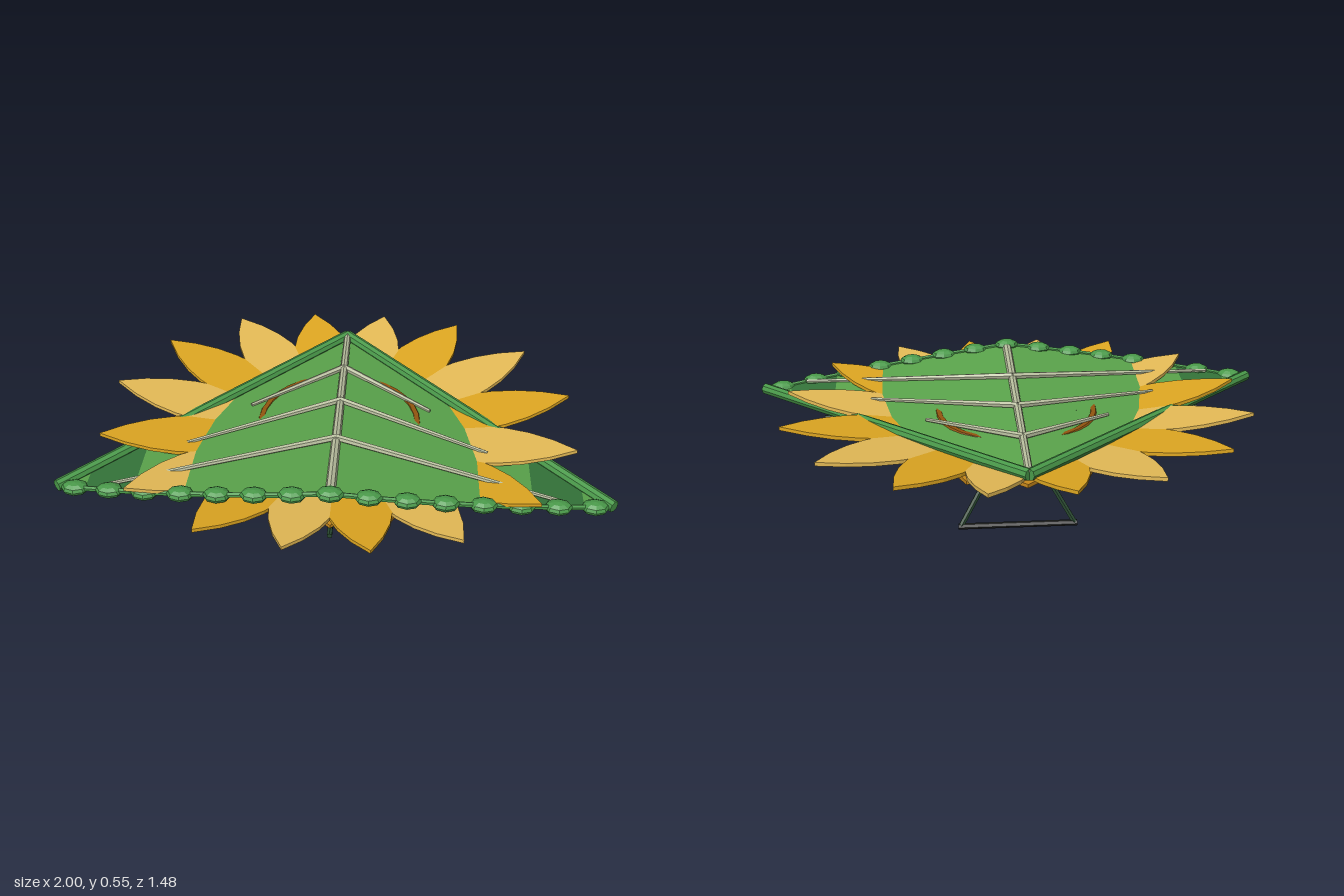
import * as THREE from 'three';

const mat = (name, color, extra = {}) =>
  Object.assign(new THREE.MeshStandardMaterial({ color, flatShading: true, ...extra }), { name });

export function createModel() {
  const root = new THREE.Group();
  root.name = 'flowerGlider';

  const sailGreen = mat('leafGreen', 0x5ba54c, { side: THREE.DoubleSide });
  const darkPanel = mat('darkLeafGreen', 0x35753a, { side: THREE.DoubleSide });
  const edgeGreen = mat('stemGreen', 0x4a9a4a);
  const vein = mat('veinGrey', 0xb9bf9f);
  const gold = mat('gold', 0xe0a822);
  const paleGold = mat('paleGold', 0xeabf58);
  const amber = mat('amber', 0xc98a1c);
  const brown = mat('seedBrown', 0x94560f);
  const frameGreen = mat('frameGreen', 0x28482f);
  const black = mat('gripBlack', 0x222422);

  const add = (geo, material, name, parent = root) => {
    const m = new THREE.Mesh(geo, material);
    m.name = name;
    parent.add(m);
    return m;
  };

  // Straight rod between two points, optionally tapered
  const rod = (a, b, r0, r1, material, name, sides = 6) => {
    const p = new THREE.Vector3(...a), q = new THREE.Vector3(...b);
    const d = q.clone().sub(p);
    const m = add(new THREE.CylinderGeometry(r1, r0, d.length(), sides), material, name);
    m.position.copy(p).add(q).multiplyScalar(0.5);
    m.quaternion.setFromUnitVectors(new THREE.Vector3(0, 1, 0), d.normalize());
  };

  // Sail surface: height, leading edge and trailing edge
  const sailY = (x, z) => 0.455 + (z + 0.58) * 0.0636 - 0.115 * Math.abs(x);
  const leadZ = x => -0.58 + x;
  const trailZ = x => 0.525 - 0.04 * x - 0.1 * x * x;

  // Sail bands from the keel to the wing tips
  const band = (side, x0, x1, material, name) => {
    const pos = [], idx = [], n = 6;
    for (let i = 0; i <= n; i++) {
      const x = x0 + (x1 - x0) * i / n;
      for (const z of [leadZ(x), Math.max(leadZ(x), trailZ(x))]) pos.push(side * x, sailY(x, z), z);
      if (i < n) {
        const k = i * 2;
        if (side > 0) idx.push(k, k + 1, k + 2, k + 1, k + 3, k + 2);
        else idx.push(k, k + 2, k + 1, k + 1, k + 2, k + 3);
      }
    }
    const g = new THREE.BufferGeometry();
    g.setAttribute('position', new THREE.Float32BufferAttribute(pos, 3));
    g.setIndex(idx);
    g.computeVertexNormals();
    add(g, material, name);
  };

  for (const s of [-1, 1]) {
    band(s, 0, 0.7, sailGreen, 'sail');
    band(s, 0.7, 0.88, darkPanel, 'sailDarkPanel');
    band(s, 0.88, 0.965, sailGreen, 'sailTip');

    // Leading edge stem
    rod([0, 0.462, -0.59], [s * 0.985, 0.41, 0.395], 0.022, 0.022, edgeGreen, 'leadingEdge', 8);

    // Side veins: keel z, end x, end z
    for (const [z0, x, z1] of [[-0.32, 0.34, -0.08], [-0.07, 0.55, 0.16], [0.19, 0.82, 0.41]])
      rod([0, sailY(0, z0) + 0.012, z0], [s * x, sailY(x, z1) + 0.008, z1], 0.013, 0.007, vein, 'sideVein');

    // Control frame leg
    rod([0, 0.38, 0.02], [s * 0.22, 0.014, -0.1], 0.011, 0.011, frameGreen, 'controlLeg');
  }
  rod([0, 0.523, 0.53], [0, 0.465, -0.59], 0.018, 0.014, vein, 'midVein', 8);

  // Trailing edge cord with a row of buds
  const cord = [];
  for (let i = -7; i <= 7; i++) {
    const x = i * 0.131, z = trailZ(Math.abs(x));
    cord.push(new THREE.Vector3(x, sailY(x, z), z));
  }
  add(new THREE.TubeGeometry(new THREE.CatmullRomCurve3(cord), 28, 0.01, 6), edgeGreen, 'trailingCord');
  const bud = new THREE.SphereGeometry(0.05, 8, 6).scale(1, 0.48, 0.75);
  for (const p of cord) add(bud, edgeGreen, 'trailingBud').position.copy(p);

  // Petal pointing along +x, rising from y0 by the given slope
  const petal = (r0, r1, w, y0, slope, angle, material, name) => {
    const s = new THREE.Shape(), L = r1 - r0;
    s.moveTo(r0, -w * 0.45);
    s.bezierCurveTo(r0 + L * 0.3, -w * 1.1, r0 + L * 0.65, -w * 1.15, r1, 0);
    s.bezierCurveTo(r0 + L * 0.65, w * 1.15, r0 + L * 0.3, w * 1.1, r0, w * 0.45);
    const g = new THREE.ExtrudeGeometry(s, { depth: 0.014, bevelEnabled: false, curveSegments: 7 });
    g.rotateX(-Math.PI / 2);
    const p = g.attributes.position;
    for (let i = 0; i < p.count; i++) p.setY(i, p.getY(i) + y0 + slope * p.getX(i));
    g.computeVertexNormals();
    add(g, material, name).rotation.y = angle;
  };

  // Outer petals, longer toward the sides, in alternating golds
  const reach = [0.754, 0.815, 0.867, 0.888];
  for (let i = 0; i < 16; i++) {
    const q = i % 8, r = reach[q < 4 ? q : 7 - q];
    const a = Math.PI / 2 - (i + 0.5) * Math.PI / 8;
    petal(0.27, r, 0.128, 0.373, 0.11, a, i % 2 ? gold : paleGold, 'outerPetal');
    petal(0.25, 0.545, 0.108, 0.37, 0.035, i * Math.PI / 8, amber, 'innerPetal');
  }

  // Flower centre: green base, brown core and rim
  add(new THREE.CylinderGeometry(0.35, 0.35, 0.02, 24), darkPanel, 'flowerBase').position.y = 0.377;
  add(new THREE.CylinderGeometry(0.29, 0.3, 0.06, 24), brown, 'flowerCore').position.y = 0.41;
  const rim = add(new THREE.TorusGeometry(0.293, 0.018, 6, 32), brown, 'flowerRim');
  rim.rotation.x = Math.PI / 2;
  rim.position.y = 0.443;

  // Seeds in a spiral over the core
  const seed = new THREE.ConeGeometry(0.012, 0.026, 5);
  for (let i = 0; i < 60; i++) {
    const r = 0.23 * Math.sqrt((i + 0.5) / 60), a = i * 2.4;
    add(seed, black, 'seed').position.set(r * Math.cos(a), 0.4515, r * Math.sin(a));
  }

  // Frame bars and grip
  rod([-0.735, 0.37, 0.17], [0.735, 0.37, 0.17], 0.01, 0.01, frameGreen, 'crossBar');
  rod([0, 0.372, 0.565], [0, 0.376, -0.34], 0.01, 0.01, frameGreen, 'keelBar');
  rod([-0.23, 0.012, -0.1], [0.23, 0.012, -0.1], 0.012, 0.012, black, 'gripBar');

  return root;
}
